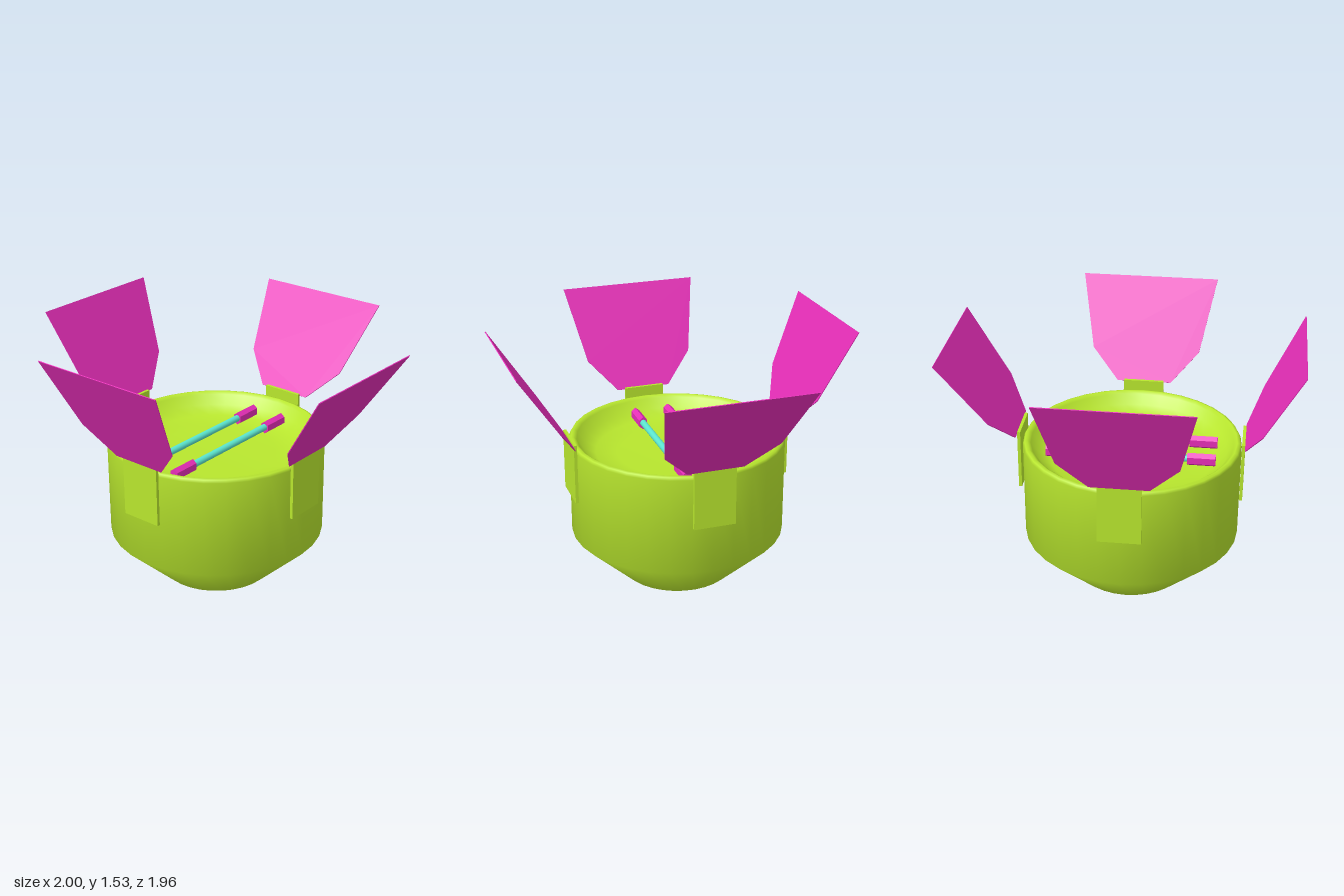
import * as THREE from 'three';

const green = new THREE.MeshStandardMaterial({ color: 0xb8e62e });
const pink = new THREE.MeshStandardMaterial({ color: 0xe62eb8 });
const teal = new THREE.MeshStandardMaterial({ color: 0x5ce6cf });

function add(parent, name, geometry, material, x = 0, y = 0, z = 0) {
  const mesh = new THREE.Mesh(geometry, material);
  mesh.name = name;
  mesh.position.set(x, y, z);
  parent.add(mesh);
  return mesh;
}

export function createModel() {
  const model = new THREE.Group();
  model.name = 'petalBowl';

  // Everything leans very slightly to one side
  const body = new THREE.Group();
  body.name = 'body';
  body.position.set(-0.034, 0.004, -0.045);
  body.rotation.z = 0.007;
  model.add(body);

  // Bowl: outer cone and wall, soft rim, shallow dished top
  const profile = [
    [0.33, 0], [0.634, 0.288], [0.634, 0.865], [0.625, 0.88], [0.608, 0.885],
    [0.588, 0.87], [0.55, 0.815], [0.48, 0.775], [0.35, 0.76], [0, 0.76],
  ].map(([r, y]) => new THREE.Vector2(r, y));
  add(body, 'bowl', new THREE.LatheGeometry(profile, 32), green);

  // Underside disc
  const base = new THREE.CircleGeometry(0.33, 32).rotateX(Math.PI / 2);
  add(body, 'baseDisc', base, teal);

  // Flaring petal, hinged at its lower edge
  const outline = [
    [-0.165, 0], [0.165, 0], [0.33, 0.2], [0.418, 0.664], [-0.418, 0.664], [-0.33, 0.2],
  ].map(([x, y]) => new THREE.Vector2(x, y));
  const petalGeometry = new THREE.ExtrudeGeometry(new THREE.Shape(outline), {
    depth: 0.005, bevelEnabled: false,
  }).translate(0, 0, -0.0025);
  const tabGeometry = new THREE.BoxGeometry(0.245, 0.36, 0.018);

  // Four sides, each with a tab and a petal opened to its own angle
  const sides = [
    ['front', 0, 33.2], ['left', 90, 35.4], ['back', 180, 24.8], ['right', 270, 27],
  ];
  for (const [name, turn, tilt] of sides) {
    const side = new THREE.Group();
    side.name = name + 'Side';
    side.rotation.y = THREE.MathUtils.degToRad(turn);
    body.add(side);
    add(side, name + 'Tab', tabGeometry, green, 0, 0.757, 0.645);
    const petal = add(side, name + 'Petal', petalGeometry, pink, 0, 0.924, 0.656);
    petal.rotation.x = THREE.MathUtils.degToRad(tilt);
  }

  // Two rods across the mouth, each with six-sided end grips, ridge upwards
  const rodGeometry = new THREE.CylinderGeometry(0.02, 0.02, 0.68, 16).rotateZ(Math.PI / 2);
  const gripGeometry = new THREE.CylinderGeometry(0.029, 0.029, 0.163, 6)
    .toNonIndexed().rotateY(Math.PI / 6).rotateZ(Math.PI / 2).scale(1, 1.35, 1);
  gripGeometry.computeVertexNormals();
  for (const z of [-0.105, 0.105]) {
    add(body, 'rod', rodGeometry, teal, 0, 0.825, z);
    for (const x of [-0.409, 0.409]) add(body, 'rodGrip', gripGeometry, pink, x, 0.822, z);
  }

  return model;
}
